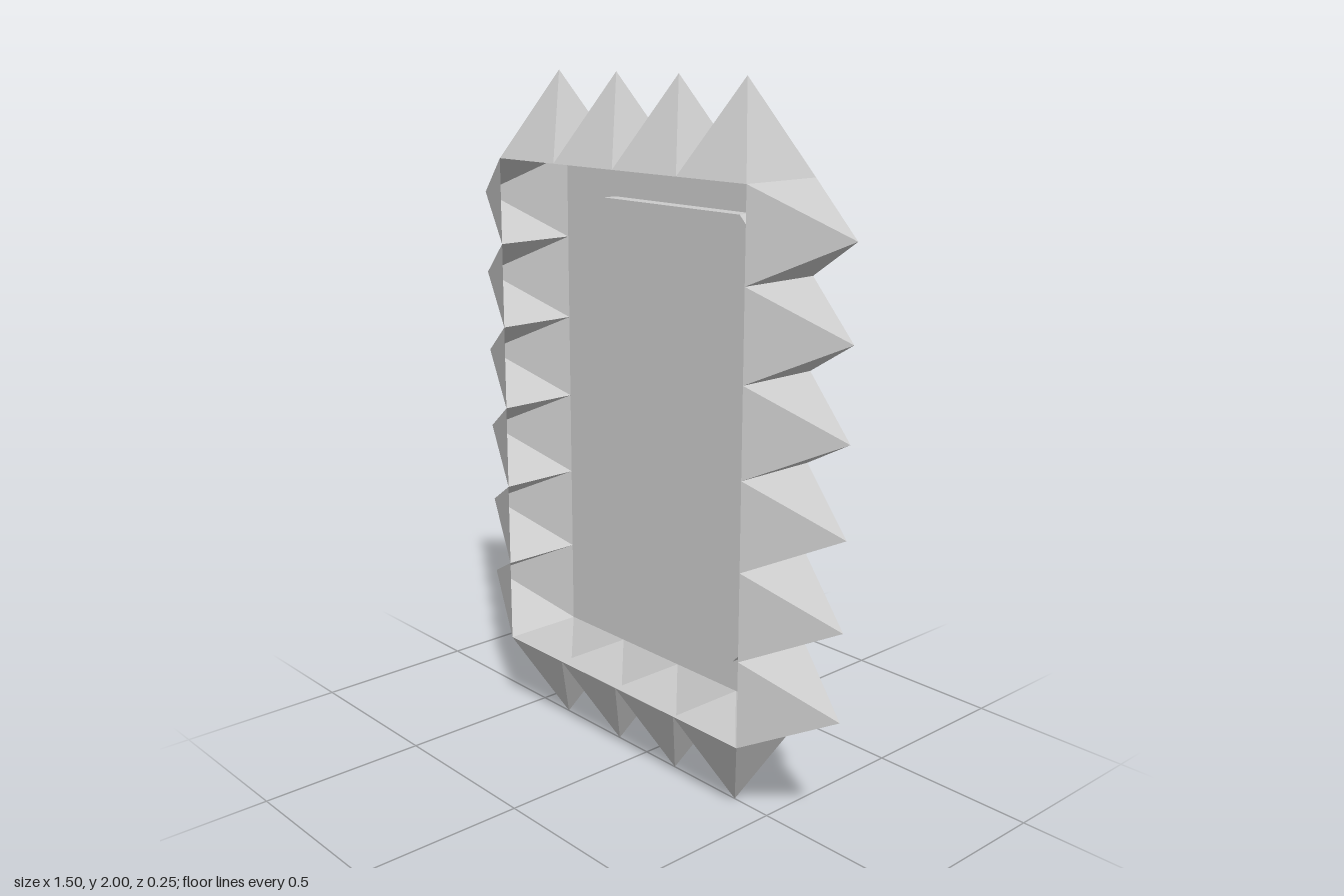
import * as THREE from 'three';

const W = 0.5;        // half width of the tray
const Y0 = 0.25, Y1 = 1.75;
const D = 0.125;      // half depth
const STEP = 0.25;    // spike base and height
const RECESS = 0.045; // how far the back panel is pushed in

const material = new THREE.MeshStandardMaterial({
  color: 0xcccccc, flatShading: true, side: THREE.DoubleSide,
});

function add(group, name, geometry) {
  const mesh = new THREE.Mesh(geometry, material);
  mesh.name = name;
  group.add(mesh);
  return mesh;
}

// Corners of the chamfered panel outline, counter-clockwise
function panelOutline() {
  const x = 0.365, b = 0.365, t = 1.64, c = 0.088;
  return [
    [x - c, b], [x, b + c], [x, t - c], [x - c, t],
    [-x + c, t], [-x, t - c], [-x, b + c], [-x + c, b],
  ].map(([px, py]) => new THREE.Vector2(px, py));
}

// Strip of quads joining the outline at two depths
function wallGeometry(points, zBack, zFront) {
  const pos = [];
  points.forEach((a, i) => {
    const b = points[(i + 1) % points.length];
    pos.push(
      a.x, a.y, zBack, b.x, b.y, zBack, b.x, b.y, zFront,
      a.x, a.y, zBack, b.x, b.y, zFront, a.x, a.y, zFront,
    );
  });
  const geometry = new THREE.BufferGeometry();
  geometry.setAttribute('position', new THREE.Float32BufferAttribute(pos, 3));
  geometry.computeVertexNormals();
  return geometry;
}

export function createModel() {
  const model = new THREE.Group();
  model.name = 'spikedTray';

  // Back plate with a chamfered opening
  const outline = panelOutline();
  const plate = new THREE.Shape([
    new THREE.Vector2(-W, Y0), new THREE.Vector2(W, Y0),
    new THREE.Vector2(W, Y1), new THREE.Vector2(-W, Y1),
  ]);
  plate.holes.push(new THREE.Path(outline));
  add(model, 'backPlate', new THREE.ShapeGeometry(plate)).position.z = -D;

  // Recessed panel and its rim; the front of the tray stays open
  add(model, 'recessWall', wallGeometry(outline, -D, -D + RECESS));
  add(model, 'recessPanel', new THREE.ShapeGeometry(new THREE.Shape(outline)))
    .position.z = -D + RECESS;

  // Hollow four-sided spikes, open towards the inside, form the tray's sides
  const spike = new THREE.ConeGeometry((STEP / 2) * Math.SQRT2, STEP, 4, 1, true);
  spike.rotateY(Math.PI / 4);
  spike.translate(0, STEP / 2, 0);

  const spikes = new THREE.Group();
  spikes.name = 'spikes';
  model.add(spikes);
  const addSpike = (name, x, y, turn) => {
    const mesh = add(spikes, name, spike);
    mesh.position.set(x, y, 0);
    mesh.rotation.z = turn;
  };
  for (let i = 0; i < 4; i++) {
    const x = -W + STEP * (i + 0.5);
    addSpike('topSpike', x, Y1, 0);
    addSpike('bottomSpike', x, Y0, Math.PI);
  }
  for (let i = 0; i < 6; i++) {
    const y = Y0 + STEP * (i + 0.5);
    addSpike('leftSpike', W, y, -Math.PI / 2);
    addSpike('rightSpike', -W, y, Math.PI / 2);
  }
  return model;
}
